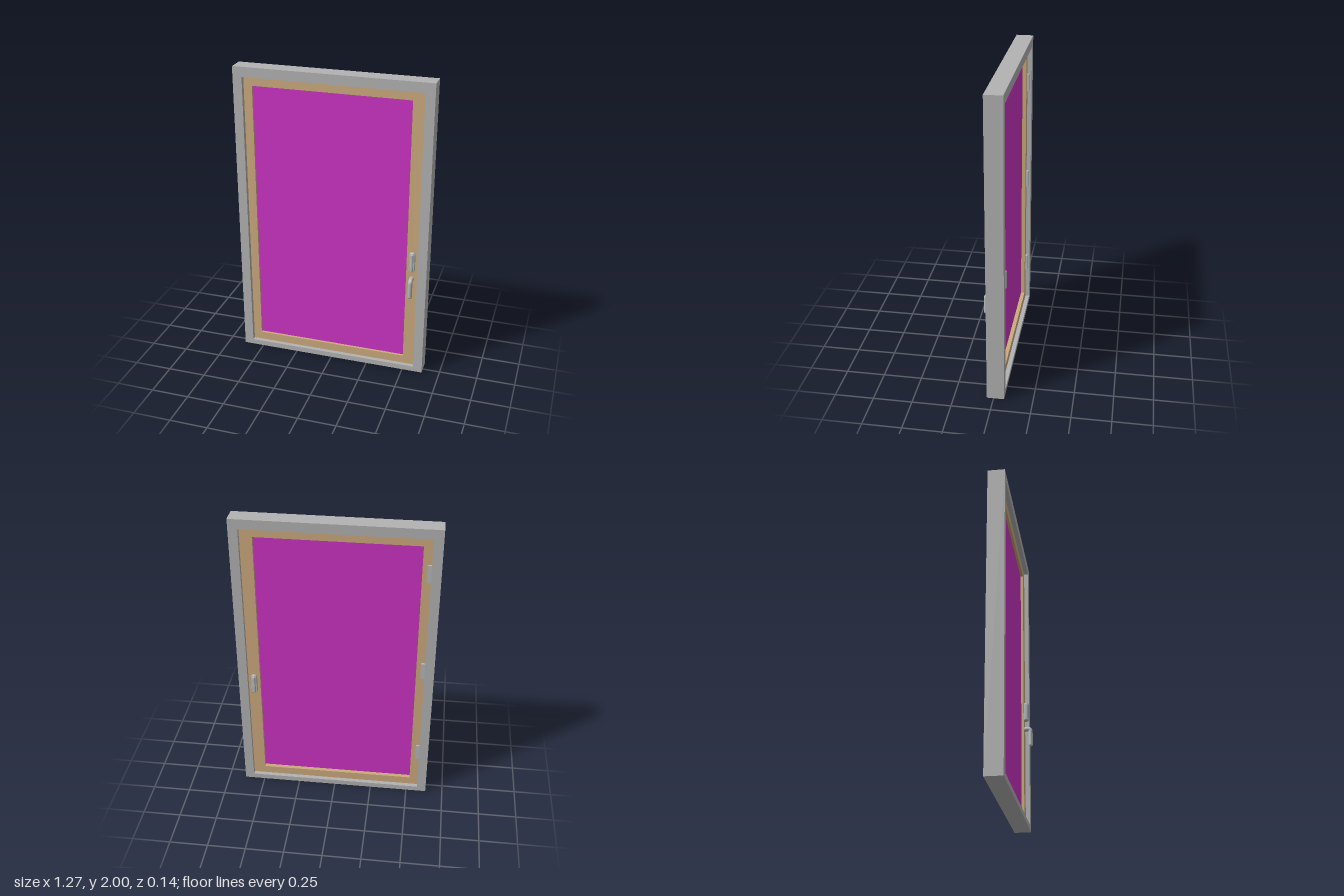
import * as THREE from 'three';

const mat = (name, color) => {
  const m = new THREE.MeshStandardMaterial({ color });
  m.name = name;
  return m;
};

// Rectangle path given by its edges
function rect(PathType, x0, x1, y0, y1) {
  const p = new PathType();
  p.moveTo(x0, y0);
  p.lineTo(x1, y0);
  p.lineTo(x1, y1);
  p.lineTo(x0, y1);
  p.closePath();
  return p;
}

// Rectangular border extruded from z0 to z1; outer and inner are [x0, x1, y0, y1]
function border(outer, inner, z0, z1) {
  const shape = rect(THREE.Shape, ...outer);
  shape.holes.push(rect(THREE.Path, ...inner));
  const g = new THREE.ExtrudeGeometry(shape, { depth: z1 - z0, bevelEnabled: false });
  return g.translate(0, 0, z0);
}

// Upright plate with rounded ends and a softened front edge, starting at z = 0
function roundedPlate(w, h, d, bevel) {
  const a = w / 2 - bevel, b = h / 2 - bevel, r = a * 0.8;
  const s = new THREE.Shape();
  s.absarc(a - r, b - r, r, 0, Math.PI / 2);
  s.absarc(r - a, b - r, r, Math.PI / 2, Math.PI);
  s.absarc(r - a, r - b, r, Math.PI, Math.PI * 1.5);
  s.absarc(a - r, r - b, r, Math.PI * 1.5, Math.PI * 2);
  const g = new THREE.ExtrudeGeometry(s, {
    depth: d - 2 * bevel, bevelSize: bevel, bevelThickness: bevel, bevelSegments: 3, curveSegments: 6,
  });
  return g.translate(0, 0, bevel);
}

export function createModel() {
  const model = new THREE.Group();
  model.name = 'window';
  const frameGrey = mat('frame grey', 0xb2b2b2);
  const wood = mat('sash tan', 0xccaa7d);
  const magenta = mat('pane magenta', 0xcc33c4);
  const metal = mat('metal grey', 0xb4b8b8);

  const add = (name, geometry, material, parent = model) => {
    const m = new THREE.Mesh(geometry, material);
    m.name = name;
    parent.add(m);
    return m;
  };

  // Outer frame, sash and pane
  const opening = [-0.575, 0.575, 0.035, 1.937];
  const paneEdge = [-0.52, 0.497, 0.09, 1.877];
  add('outerFrame', border([-0.635, 0.635, 0, 2], opening, -0.068, 0.043), frameGrey);
  add('sash', border(opening, paneEdge, -0.04, 0.015), wood);
  const [x0, x1, y0, y1] = paneEdge;
  const pane = add('pane', new THREE.BoxGeometry(x1 - x0, y1 - y0, 0.012), magenta);
  pane.position.set((x0 + x1) / 2, (y0 + y1) / 2, -0.008);

  // Pull plates on both faces of the sash
  const handleX = 0.535;
  for (const [name, z, turn] of [['frontPull', 0.015, 0], ['backPull', -0.04, Math.PI]]) {
    const pull = new THREE.Group();
    pull.name = name;
    pull.position.set(handleX, 0.813, z);
    pull.rotation.y = turn;
    model.add(pull);
    add('pullBase', roundedPlate(0.038, 0.137, 0.022, 0.004), metal, pull);
    add('pullGrip', roundedPlate(0.02, 0.125, 0.031, 0.007), metal, pull);
  }

  // Lever handle: rose, neck bending out of the sash, and a hanging grip
  const lever = new THREE.Group();
  lever.name = 'lever';
  lever.position.x = handleX;
  model.add(lever);
  const rose = add('leverRose', new THREE.CylinderGeometry(0.016, 0.016, 0.012, 20), metal, lever);
  rose.rotation.x = Math.PI / 2;
  rose.position.set(0, 0.688, 0.02);
  const path = new THREE.CurvePath();
  const v = (y, z) => new THREE.Vector3(0, y, z);
  path.add(new THREE.LineCurve3(v(0.69, 0.015), v(0.69, 0.042)));
  path.add(new THREE.QuadraticBezierCurve3(v(0.69, 0.042), v(0.69, 0.057), v(0.67, 0.057)));
  path.add(new THREE.LineCurve3(v(0.67, 0.057), v(0.578, 0.057)));
  add('leverGrip', new THREE.TubeGeometry(path, 40, 0.0145, 14), metal, lever);
  const tip = add('leverTip', new THREE.SphereGeometry(0.0145, 14, 10), metal, lever);
  tip.position.set(0, 0.578, 0.057);

  // Three hinges at the back edge opposite the handle
  for (const y of [0.33, 1.0, 1.7]) {
    const hinge = add('hinge', new THREE.BoxGeometry(0.026, 0.115, 0.016), metal);
    hinge.position.set(-0.562, y, -0.045);
  }
  return model;
}
